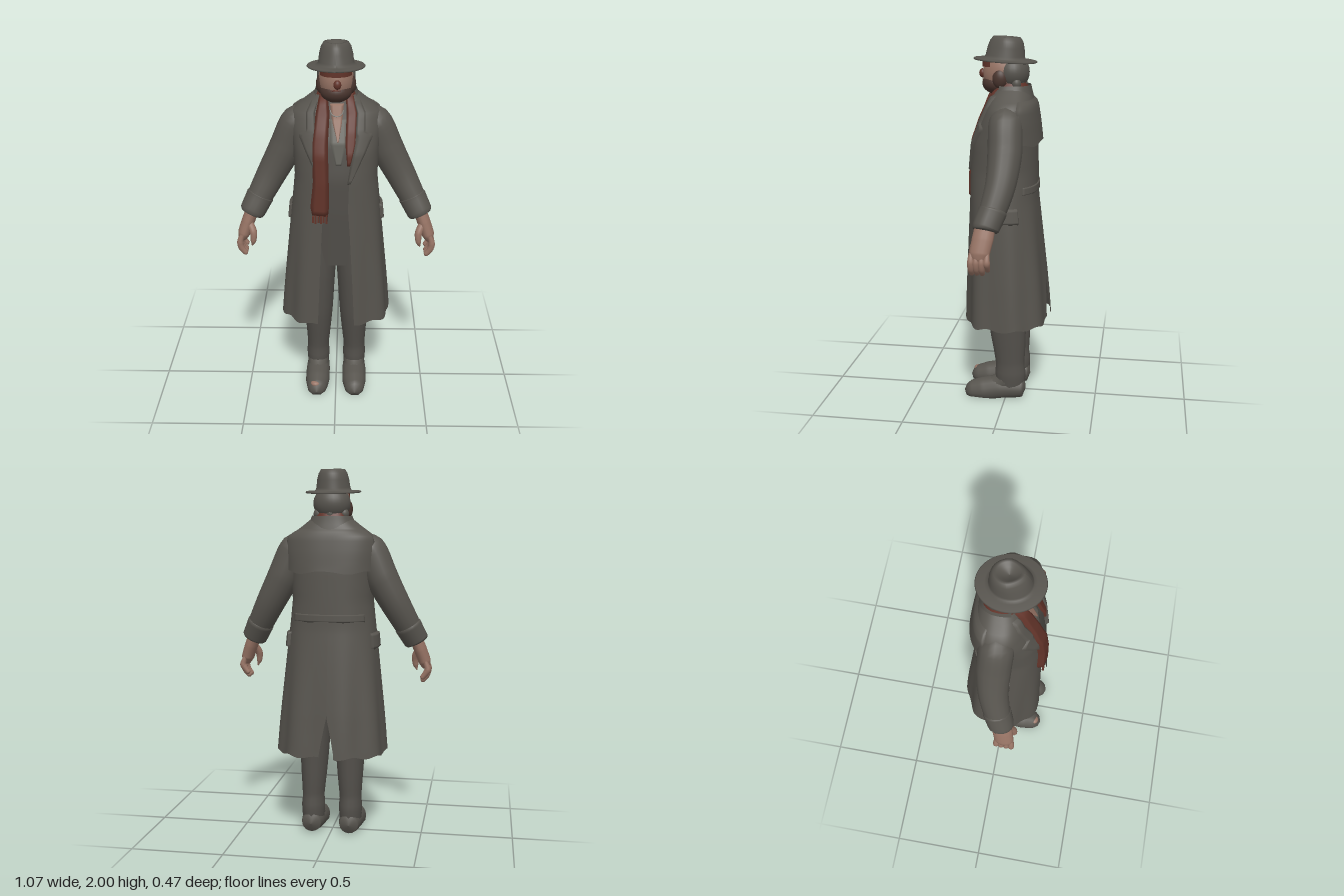
import * as THREE from 'three';
import { mergeVertices } from 'three/addons/utils/BufferGeometryUtils.js';

const mat = (name, color, side = THREE.FrontSide) => {
  const m = new THREE.MeshStandardMaterial({ color, side });
  m.name = name;
  return m;
};
const { lerp, clamp } = THREE.MathUtils;

// Linear lookup in a table of rows whose first entry is the key
function rowAt(rows, y) {
  let i = 0;
  while (i < rows.length - 2 && y > rows[i + 1][0]) i++;
  const t = clamp((y - rows[i][0]) / (rows[i + 1][0] - rows[i][0]), 0, 1);
  return rows[i].map((v, k) => lerp(v, rows[i + 1][k], t));
}

// Surface grid: u runs left to right, v bottom to top
function grid(nu, nv, fn) {
  const pos = [], idx = [];
  for (let j = 0; j <= nv; j++) for (let i = 0; i <= nu; i++) pos.push(...fn(i / nu, j / nv));
  for (let j = 0; j < nv; j++) for (let i = 0; i < nu; i++) {
    const a = j * (nu + 1) + i, c = a + nu + 1;
    idx.push(a, a + 1, c + 1, a, c + 1, c);
  }
  const g = new THREE.BufferGeometry();
  g.setAttribute('position', new THREE.Float32BufferAttribute(pos, 3));
  g.setIndex(idx);
  const m = mergeVertices(g, 1e-5);
  m.computeVertexNormals();
  return m;
}

// Rounded-box cross-section; rows are [y, half width, front z, back z]
const E = 0.82;
const spow = (v) => Math.sign(v) * Math.abs(v) ** E;
function ringPoint(rows, y, th, out = 0) {
  const [, a, f, b] = rowAt(rows, y);
  return [(a + out) * spow(Math.sin(th)), y, (f + b) / 2 + ((f - b) / 2 + out) * spow(Math.cos(th))];
}
function frontZ(rows, x, y) {
  const [, a, f, b] = rowAt(rows, y);
  const s = Math.min(1, Math.abs(x) / a) ** (1 / E);
  return (f + b) / 2 + ((f - b) / 2) * Math.sqrt(1 - s * s) ** E;
}
const isEdge = (u, v) => u < 0.001 || u > 0.999 || v < 0.001 || v > 0.999;

// Cloth panel wrapped round a ring surface between two angles
const wrap = (rows, t0, t1, y0, y1, out, flare = 0) => grid(36, 10, (u, v) =>
  ringPoint(rows, lerp(y0, y1, v) + (v < 0.05 ? 0.008 * Math.sin(u * 17) : 0), lerp(t0, t1, u),
    isEdge(u, v) && (v > 0.5 || !flare) ? -0.008 : out + flare * (1 - v)));

// Cloth panel on the front; outline is [y, x0, x1] from bottom to top
function drape(rows, outline, out, side = 1) {
  const n = outline.length - 1;
  return grid(8, 28, (u, v) => {
    const [y, p, q] = rowAt(outline, lerp(outline[0][0], outline[n][0], v));
    const x = side > 0 ? lerp(p, q, u) : lerp(-q, -p, u);
    return [x, y, frontZ(rows, x, y) + (isEdge(u, v) ? -0.008 : out)];
  });
}

// Tube of changing radius; points are [x, y, z, radius]
function limb(points, zScale = 1, minY = -9) {
  const curve = new THREE.CatmullRomCurve3(points.map((p) => new THREE.Vector3(p[0], p[1], p[2])));
  const seg = 28, rad = 16, n = points.length - 1;
  const g = new THREE.TubeGeometry(curve, seg, 1, rad, false);
  const pos = g.attributes.position, v = new THREE.Vector3();
  for (let i = 0; i <= seg; i++) {
    const c = curve.getPointAt(i / seg), t = curve.getUtoTmapping(i / seg) * n;
    const k = Math.min(n - 1, Math.floor(t)), r = lerp(points[k][3], points[k + 1][3], t - k);
    for (let j = 0; j <= rad; j++) {
      const id = i * (rad + 1) + j;
      v.fromBufferAttribute(pos, id).sub(c).multiplyScalar(r);
      pos.setXYZ(id, c.x + v.x, Math.max(minY, c.y + v.y), c.z + v.z * zScale);
    }
  }
  g.deleteAttribute('uv');
  g.deleteAttribute('normal');
  const m = mergeVertices(g, 1e-5);
  m.computeVertexNormals();
  return m;
}

export function createModel() {
  const root = new THREE.Group();
  const coat = mat('coat cloth', 0x57544e, THREE.DoubleSide);
  const trouser = mat('trouser cloth', 0x53504b, THREE.DoubleSide);
  const scarf = mat('scarf wool', 0x613329, THREE.DoubleSide);
  const skin = mat('skin', 0x967364, THREE.DoubleSide);
  const beard = mat('beard', 0x49352e);
  const shirt = mat('shirt', 0x64635c, THREE.DoubleSide);
  const silver = mat('necklace metal', 0x8d8a84);
  const add = (name, geo, m) => {
    const mesh = new THREE.Mesh(geo, m);
    mesh.name = name;
    root.add(mesh);
    return mesh;
  };
  const ball = (name, m, [x, y, z], [sx, sy, sz]) => {
    const b = add(name, new THREE.SphereGeometry(1, 28, 20), m);
    b.position.set(x, y, z);
    b.scale.set(sx, sy, sz);
  };

  // Ring tables, the fifth coat value is half the front opening
  const C = [[0.465, 0.298, 0.225, -0.228, 0.1], [0.7, 0.278, 0.218, -0.208, 0.09],
    [1.0, 0.25, 0.208, -0.178, 0.075], [1.15, 0.235, 0.203, -0.163, 0.065], [1.3, 0.22, 0.2, -0.16, 0.07],
    [1.45, 0.228, 0.185, -0.157, 0.09], [1.56, 0.24, 0.145, -0.152, 0.1], [1.64, 0.235, 0.108, -0.145, 0.1],
    [1.69, 0.165, 0.09, -0.132, 0.095], [1.73, 0.115, 0.07, -0.112, 0.085]];
  const T = [[0.78, 0.18, 0.115, -0.12], [1.1, 0.17, 0.155, -0.13], [1.3, 0.17, 0.17, -0.13],
    [1.5, 0.17, 0.145, -0.12], [1.62, 0.15, 0.095, -0.1], [1.7, 0.075, 0.07, -0.07]];
  const N = [[1.66, 0.15, 0.09, -0.135], [1.72, 0.115, 0.08, -0.12], [1.77, 0.095, 0.07, -0.11]];

  // Body under the coat
  add('torso', grid(40, 24, (u, v) => ringPoint(T, lerp(0.78, 1.7, v), u * Math.PI * 2)), trouser);
  add('shirt', drape(T, [[1.38, 0, 0.03], [1.5, -0.035, 0.065], [1.62, -0.045, 0.07]], 0.005), shirt);
  add('chest', drape(T, [[1.5, 0.01, 0.014], [1.6, -0.022, 0.036], [1.695, -0.035, 0.045]], 0.011), skin);
  const chain = add('necklace', new THREE.TorusGeometry(0.033, 0.003, 6, 20, Math.PI), silver);
  chain.position.set(0.005, 1.665, 0.1);
  chain.rotation.set(-0.5, 0, Math.PI);
  add('neck', new THREE.CylinderGeometry(0.058, 0.065, 0.14, 20), skin).position.set(0, 1.71, 0);

  for (const s of [1, -1]) {
    const side = s > 0 ? 'left' : 'right';
    // Coat half with hem folds and the slit at the back
    add(side + 'CoatHalf', grid(36, 44, (u, v) => {
      const y = lerp(0.465, 1.73, v), [, a, , , open] = rowAt(C, y);
      const t0 = Math.asin((open / a) ** (1 / E)), t1 = Math.PI - 0.09 * clamp((0.68 - y) / 0.2, 0, 1);
      const th = s > 0 ? lerp(t0, t1, u) : lerp(-t1, -t0, u);
      const p = ringPoint(C, y, th, 0.008 * Math.sin(th * 8) * clamp((1.2 - y) / 0.6, 0, 1));
      if (v === 0) p[1] += 0.007 * Math.sin(th * 11);
      return p;
    }), coat);
    add(side + 'Lapel', drape(C, [[1.29, 0.06, 0.075], [1.42, 0.08, 0.14], [1.53, 0.1, 0.195],
      [1.55, 0.1, 0.19], [1.56, 0.1, 0.155], [1.65, 0.105, 0.155], [1.71, 0.09, 0.125]], 0.012, s), coat);
    add(side + 'PocketFlap', wrap(C, s * Math.PI * 0.55 - 0.32, s * Math.PI * 0.55 + 0.32, 1.04, 1.13, 0.015), coat);

    // Sleeve and turned cuff
    add(side + 'Sleeve', limb([[0.13 * s, 1.625, -0.02, 0.05], [0.2 * s, 1.57, -0.015, 0.09],
      [0.27 * s, 1.42, -0.02, 0.09], [0.345 * s, 1.28, -0.01, 0.08], [0.41 * s, 1.16, 0.02, 0.07],
      [0.43 * s, 1.125, 0.032, 0.067]]), coat);
    add(side + 'Cuff', limb([[0.405 * s, 1.17, 0.018, 0.066], [0.41 * s, 1.16, 0.02, 0.075],
      [0.452 * s, 1.08, 0.048, 0.069], [0.458 * s, 1.068, 0.05, 0.06], [0.459 * s, 1.066, 0.051, 0.001]]), coat);

    // Hand with curled fingers
    add(side + 'Palm', limb([[0.455 * s, 1.08, 0.052, 0.035], [0.475 * s, 1.03, 0.06, 0.036],
      [0.5 * s, 0.96, 0.072, 0.034], [0.51 * s, 0.925, 0.073, 0.02], [0.511 * s, 0.92, 0.073, 0.001]], 1.55), skin);
    for (let f = 0; f < 4; f++) {
      const z = 0.033 + f * 0.027, d = f === 0 ? 0.02 : 0;
      add(side + 'Finger', limb([[0.505 * s, 0.965, z, 0.012], [0.519 * s, 0.92, z, 0.018],
        [0.512 * s, 0.885 + d, z, 0.017], [0.488 * s, 0.853 + d, z, 0.013], [0.483 * s, 0.847 + d, z, 0.001]]), skin);
    }
    add(side + 'Thumb', limb([[0.47 * s, 1.03, 0.085, 0.02], [0.446 * s, 0.98, 0.112, 0.02],
      [0.447 * s, 0.93, 0.12, 0.015], [0.456 * s, 0.9, 0.118, 0.001]]), skin);

    // Trouser leg and boot
    add(side + 'Leg', limb([[0.088 * s, 0.92, 0, 0.095], [0.095 * s, 0.7, 0, 0.09], [0.1 * s, 0.45, -0.008, 0.08],
      [0.103 * s, 0.28, -0.02, 0.067], [0.105 * s, 0.2, -0.024, 0.06], [0.105 * s, 0.15, -0.026, 0.066],
      [0.105 * s, 0.07, -0.025, 0.06]], 1.32), trouser);
    add(side + 'Boot', limb([[0.105 * s, 0.055, -0.112, 0.001], [0.105 * s, 0.057, -0.105, 0.05],
      [0.105 * s, 0.06, -0.05, 0.062], [0.105 * s, 0.055, 0.03, 0.068], [0.106 * s, 0.035, 0.13, 0.068],
      [0.108 * s, 0.026, 0.2, 0.052], [0.108 * s, 0.025, 0.23, 0.025], [0.108 * s, 0.025, 0.236, 0.001]], 1, 0), coat);
    add(side + 'Instep', limb([[0.105 * s, 0.16, -0.025, 0.055], [0.105 * s, 0.1, 0, 0.06],
      [0.105 * s, 0.06, 0.07, 0.055], [0.105 * s, 0.05, 0.12, 0.03]]), coat);
    // Side whiskers
    ball(side + 'Whisker', beard, [0.075 * s, 1.785, 0.035], [0.028, 0.05, 0.04]);
  }

  // Bare toe showing through the right boot
  const toe = add('bareToe', new THREE.SphereGeometry(1, 16, 10), skin);
  toe.position.set(-0.115, 0.062, 0.196);
  toe.scale.set(0.028, 0.016, 0.026);

  // Back cape, half belt and standing collar
  add('backCape', wrap(C, Math.PI * 0.6, Math.PI * 1.4, 1.455, 1.69, 0.008, 0.018), coat);
  add('backBelt', wrap(C, Math.PI * 0.7, Math.PI * 1.3, 1.19, 1.235, 0.006), coat);
  add('collar', grid(36, 6, (u, v) =>
    ringPoint(N, lerp(1.66, 1.75, v), lerp(Math.PI * 0.33, Math.PI * 1.67, u), 0.004)), coat);

  // Scarf round the neck with one long and one short end
  add('scarfLoop', grid(36, 6, (u, v) =>
    ringPoint(N, lerp(1.68, 1.768, v), lerp(Math.PI * 0.18, Math.PI * 1.82, u), -0.007 - 0.012 * v * v)), scarf);
  add('scarfLongEnd', drape(C, [[1.11, -0.125, -0.04], [1.16, -0.135, -0.035], [1.3, -0.12, -0.035],
    [1.5, -0.125, -0.04], [1.65, -0.105, -0.032], [1.74, -0.085, -0.045]], 0.028), scarf);
  add('scarfShortEnd', drape(C, [[1.39, 0.06, 0.075], [1.5, 0.05, 0.105], [1.65, 0.055, 0.112],
    [1.74, 0.05, 0.09]], 0.006), scarf);
  for (let i = 0; i < 6; i++) {
    add('scarfFringe', new THREE.BoxGeometry(0.01, 0.035 + 0.012 * (i % 2), 0.012), scarf)
      .position.set(-0.118 + i * 0.014, 1.105, 0.215);
  }

  // Head, hair, beard and face
  ball('head', skin, [0, 1.81, 0.025], [0.09, 0.125, 0.112]);
  ball('hair', coat, [0, 1.815, -0.025], [0.1, 0.092, 0.086]);
  for (let i = 0; i < 5; i++) ball('hairLock', coat, [-0.07 + i * 0.035, 1.76, -0.075 + 0.012 * Math.abs(i - 2)], [0.025, 0.03, 0.025]);
  ball('beard', beard, [0, 1.756, 0.062], [0.082, 0.058, 0.078]);
  ball('nose', scarf, [0.008, 1.808, 0.138], [0.02, 0.024, 0.018]);
  ball('mouth', scarf, [0, 1.775, 0.125], [0.03, 0.006, 0.014]);
  const brow = [];
  for (let k = 0; k < 2; k++) brow.push([1.842 + k * 0.035, 0.085, 0.135, -0.08]);
  add('browShade', grid(20, 2, (u, v) =>
    ringPoint(brow, lerp(1.845, 1.877, v), lerp(-1.1, 1.1, u), 0.003)), scarf);

  // Hat: turned profile made oval, tilted up at the front, with a creased crown
  const profile = [[0, 1.872], [0.09, 1.87], [0.145, 1.872], [0.15, 1.876], [0.146, 1.881], [0.11, 1.882], [0.096, 1.887],
    [0.091, 1.9], [0.086, 1.94], [0.077, 1.972], [0.064, 1.992], [0.05, 1.992], [0.034, 1.972], [0, 1.962]];
  const hat = new THREE.LatheGeometry(profile.map((p) => new THREE.Vector2(...p)), 48);
  const hp = hat.attributes.position;
  for (let i = 0; i < hp.count; i++) {
    const x = hp.getX(i), y = hp.getY(i), z = hp.getZ(i);
    const top = clamp((y - 1.9) / 0.09, 0, 1), front = clamp(z / 0.08, 0, 1);
    const droop = y < 1.885 ? -0.25 * Math.max(0, z * z - 0.01) + 0.2 * Math.max(0, -x * x + 0.01) : 0;
    hp.setXYZ(i, x * (1 - 0.3 * top * front), y + z * 0.07 + droop * 0.5 + 0.004 * top, z * 1.13 + 0.018 - 0.01 * top);
  }
  hat.computeVertexNormals();
  add('hat', hat, coat);
  return root;
}
